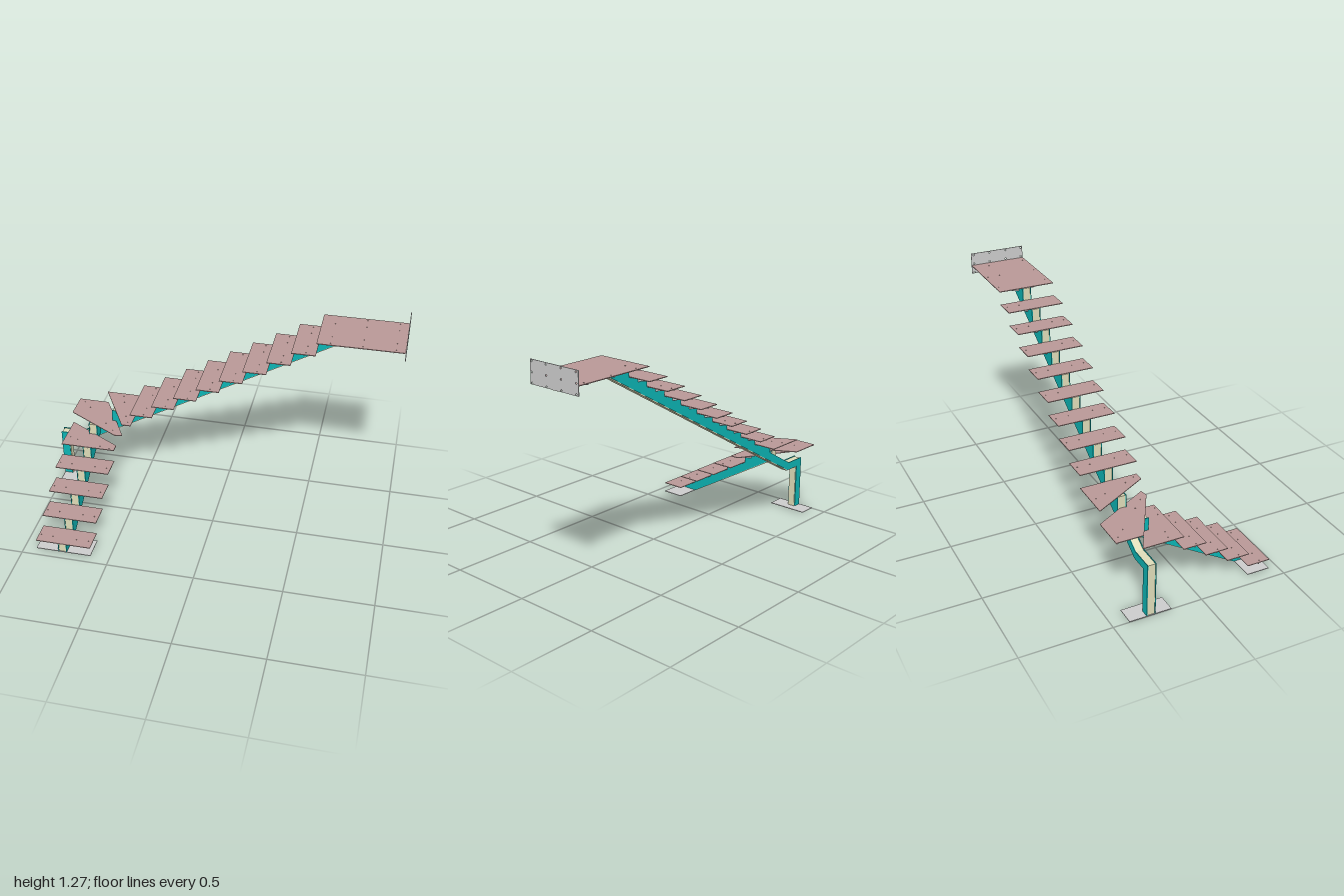
import * as THREE from 'three';

const mat = (color) => new THREE.MeshStandardMaterial({ color, side: THREE.DoubleSide, flatShading: true });
const teal = mat(0x0cb4b4), cream = mat(0xdedcb8), rose = mat(0xb89896), grey = mat(0xcccccc);

const T = 0.004;           // sheet thickness
const RUN = 0.131, RISE = 0.0763;
const UZ = -0.29;          // centre line of the upper flight
const LX = -0.775;         // centre line of the lower flight
const HALF = 0.025;        // half width of the box stringer
const level = (i) => 0.06 + i * RISE;

function extrude(points, depth, holes = [], r = 0.004) {
  const shape = new THREE.Shape(points.map(([x, y]) => new THREE.Vector2(x, y)));
  for (const [x, y] of holes) shape.holes.push(new THREE.Path().absarc(x, y, r, 0, Math.PI * 2, true));
  return new THREE.ExtrudeGeometry(shape, { depth, bevelEnabled: false, curveSegments: 4 });
}

function add(parent, name, geometry, material) {
  const mesh = new THREE.Mesh(geometry, material);
  mesh.name = name;
  parent.add(mesh);
  return mesh;
}

// Two saw-tooth cheek plates with a closing box strip between them; local x runs along the flight
function stringer(name, profile, shift) {
  const group = new THREE.Group();
  group.name = name;
  for (const z of [-HALF, HALF - T])
    add(group, 'cheekPlate', extrude(profile, T).translate(0, 0, z), teal);
  const inner = profile.map(([x, y]) => [x + shift, y <= T ? y : y - T]);
  add(group, 'closingStrip', extrude(inner, 2 * (HALF - T)).translate(0, 0, -HALF + T), cream);
  return group;
}

// Flat slab from plan corners [x, z], with small screw holes
function slab(parent, name, corners, top, material, holes = []) {
  const flip = ([x, z]) => [x, -z];
  const geo = extrude(corners.map(flip), T, holes.map(flip), 0.003);
  return add(parent, name, geo.rotateX(-Math.PI / 2).translate(0, top - T, 0), material);
}

const rect = (x0, x1, z0, z1) => [[x0, z0], [x1, z0], [x1, z1], [x0, z1]];

// Pair of tapered bracket plates reaching out under a tread
function brackets(parent, x, z, top, yaw, inner = HALF, reach = 0.157) {
  const pts = [[inner, 0], [reach, 0], [reach, -0.005], [inner, -0.036]];
  for (const turn of [0, Math.PI]) {
    const b = add(parent, 'treadBracket', extrude(pts, 0.003).translate(0, 0, -0.0015), grey);
    b.position.set(x, top - T, z);
    b.rotation.y = yaw + turn;
  }
}

export function createModel() {
  const model = new THREE.Group();
  model.name = 'staircase';

  // Upper stringer: landing, sloping underside, bent knee and post
  const upper = [
    [0.994, 1.2 - T], [0.994, 1.155], [0.67, 1.155], [-0.86, 0.265], [-0.953, 0.265],
    [-0.953, T], [-1, T], [-1, 0.31], [-0.87, 0.31], [-0.67, 0.427],
  ];
  for (let i = 6; i <= 15; i++) {
    const x = 0.53 - (15 - i) * RUN;
    const y = level(i) - T;
    if (i === 6) upper.push([-0.67, y]);
    else upper.push([x, level(i - 1) - T], [x, y]);
  }
  const upperStringer = stringer('upperStringer', upper, T);
  upperStringer.position.z = UZ;
  model.add(upperStringer);

  // Lower stringer, drawn along z and turned into place
  const lower = [[0.45, T], [0.315, T], [-0.265, 0.345], [-0.265, level(5) - T]];
  for (let i = 5; i >= 0; i--) {
    const z = 0.45 - i * RUN;
    lower.push([z, level(i) - T]);
    if (i > 0) lower.push([z, level(i - 1) - T]);
  }
  const lowerStringer = stringer('lowerStringer', lower, -T);
  lowerStringer.rotation.y = -Math.PI / 2;
  lowerStringer.position.x = LX;
  model.add(lowerStringer);

  // Straight treads of the lower flight
  for (let i = 0; i < 4; i++) {
    const z1 = 0.45 - i * RUN, z0 = z1 - RUN, zm = (z0 + z1) / 2;
    const holes = [];
    for (const dx of [-0.14, -0.07, 0.07, 0.14]) holes.push([LX + dx, zm + 0.012]);
    slab(model, 'lowerTread', rect(-0.93, -0.61, z0, z1), level(i), rose, holes);
    brackets(model, LX, zm, level(i), 0);
  }

  // Three winder treads around the corner
  slab(model, 'winderTread', [[-0.93, -0.074], [-0.61, -0.074], [-0.61, -0.125], [-0.93, -0.305]],
    level(4), rose, [[-0.9, -0.15], [-0.85, -0.14], [-0.7, -0.1], [-0.64, -0.085]]);
  brackets(model, LX, -0.13, level(4), -Math.PI / 12);
  slab(model, 'winderTread', [[-0.93, -0.3], [-0.615, -0.122], [-0.57, -0.13], [-0.75, -0.45], [-0.93, -0.45]],
    level(5), rose, [[-0.89, -0.42], [-0.84, -0.37], [-0.7, -0.23], [-0.64, -0.17]]);
  brackets(model, LX, UZ, level(5), -Math.PI / 4, 0.035, 0.22);
  slab(model, 'winderTread', [[-0.75, -0.45], [-0.57, -0.13], [-0.517, -0.13], [-0.517, -0.45]],
    level(6), rose, [[-0.64, -0.42], [-0.62, -0.36], [-0.57, -0.22], [-0.54, -0.16]]);
  brackets(model, -0.59, UZ, level(6), -Math.PI * 5 / 12);

  // Straight treads of the upper flight
  for (let i = 7; i < 15; i++) {
    const x0 = 0.53 - (15 - i) * RUN, xm = x0 + RUN / 2;
    const holes = [];
    for (const dz of [-0.14, -0.07, 0.07, 0.14]) holes.push([xm + 0.012, UZ + dz]);
    slab(model, 'upperTread', rect(x0, x0 + RUN, -0.45, -0.13), level(i), rose, holes);
    brackets(model, xm, UZ, level(i), -Math.PI / 2);
  }

  // Landing with three bracket pairs
  const rows = [0.59, 0.76, 0.935];
  const landingHoles = [];
  for (const x of rows)
    for (const dz of [-0.14, -0.07, 0.07, 0.14]) landingHoles.push([x + 0.012, UZ + dz]);
  slab(model, 'landing', rect(0.53, 0.995, -0.45, -0.13), 1.204, rose, landingHoles);
  for (const x of rows) brackets(model, x, UZ, 1.204, -Math.PI / 2);

  // Drilled wall plate at the top end
  const plateHoles = [];
  for (const z of [-0.435, -0.337, -0.238, -0.14])
    for (const y of [1.16, 1.213, 1.266]) plateHoles.push([z, y]);
  const plate = extrude([[-0.45, 1.153], [-0.13, 1.153], [-0.13, 1.275], [-0.45, 1.275]], T, plateHoles, 0.005);
  add(model, 'wallPlate', plate.rotateY(-Math.PI / 2).translate(1, 0, 0), grey);

  // Floor plates under the first step and the post
  slab(model, 'stepFloorPlate', rect(-0.93, -0.61, 0.32, 0.45), T, grey);
  slab(model, 'postFloorPlate', rect(-1, -0.9, -0.41, -0.175), T, grey);

  return model;
}
